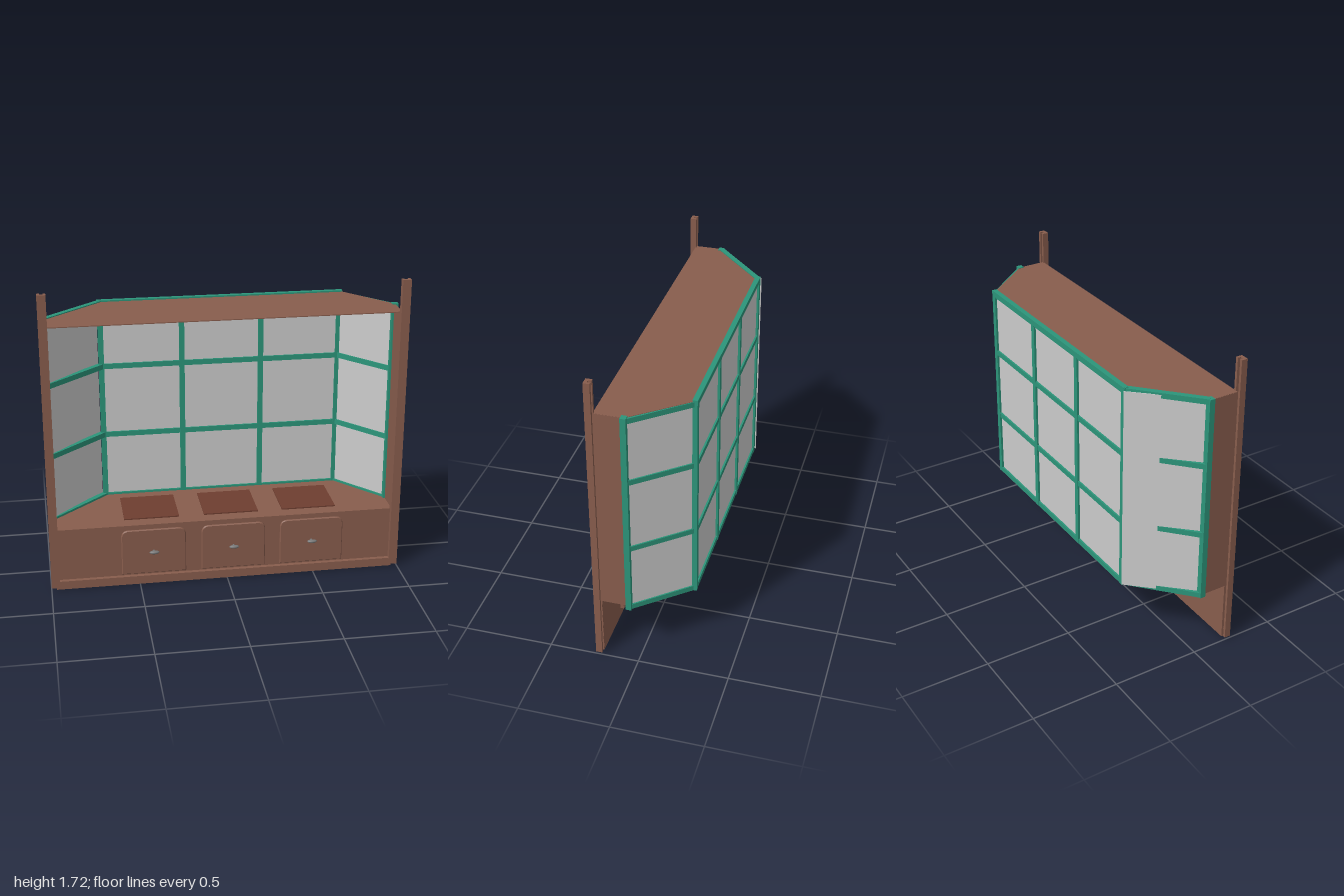
import * as THREE from 'three';

const wood = new THREE.MeshStandardMaterial({ color: 0x885d4d });
const lidWood = new THREE.MeshStandardMaterial({ color: 0x6e3e30 });
const green = new THREE.MeshStandardMaterial({ color: 0x2c957a });
const metal = new THREE.MeshStandardMaterial({ color: 0x777777 });
const glass = new THREE.MeshStandardMaterial({ color: 0xcccccc });

export function createModel() {
  const model = new THREE.Group();
  model.name = 'bayWindowSeat';

  function add(name, geometry, material) {
    const mesh = new THREE.Mesh(geometry, material);
    mesh.name = name;
    model.add(mesh);
    return mesh;
  }

  // Box given by its limits on each axis
  function block(name, [x0, x1], [y0, y1], [z0, z1], material) {
    const mesh = add(name, new THREE.BoxGeometry(x1 - x0, y1 - y0, z1 - z0), material);
    mesh.position.set((x0 + x1) / 2, (y0 + y1) / 2, (z0 + z1) / 2);
    return mesh;
  }

  // Upright slab running between two floor points [x, z]
  function span(name, a, b, [y0, y1], depth, material) {
    const dx = b[0] - a[0], dz = b[1] - a[1];
    const mesh = add(name, new THREE.BoxGeometry(Math.hypot(dx, dz), y1 - y0, depth), material);
    mesh.position.set((a[0] + b[0]) / 2, (y0 + y1) / 2, (a[1] + b[1]) / 2);
    mesh.rotation.y = Math.atan2(-dz, dx);
    return mesh;
  }

  // Horizontal board with a plan outline of [x, z] points
  function board(name, outline, y, thickness, material) {
    const shape = new THREE.Shape(outline.map(([x, z]) => new THREE.Vector2(x, -z)));
    const geo = new THREE.ExtrudeGeometry(shape, { depth: thickness, bevelEnabled: false });
    geo.rotateX(-Math.PI / 2);
    add(name, geo, material).position.y = y;
  }

  // Seat and roof share the bay's plan
  const plan = [[-0.975, 0.21], [0.965, 0.21], [0.965, 0.05], [0.73, -0.24], [-0.65, -0.24], [-0.975, 0.05]];
  board('seat', plan, 0.353, 0.005, wood);
  board('roof', plan, 1.531, 0.005, wood);

  // Side jambs
  block('rightJamb', [-0.977, -0.971], [0.355, 1.535], [0.05, 0.21], wood);
  block('leftJamb', [0.961, 0.967], [0.355, 1.535], [0.05, 0.21], wood);

  // Front posts, channelled on the back
  for (const x of [-0.976, 0.976]) {
    const w = 0.024, g = 0.009;
    const profile = [[-w, 0.24], [w, 0.24], [w, 0.205], [g, 0.205], [g, 0.222], [-g, 0.222], [-g, 0.205], [-w, 0.205]];
    board('frontPost', profile.map(([px, z]) => [x + px, z]), 0.015, 1.705, wood);
  }

  // Front panel and skirting
  block('frontPanel', [-0.97, 0.965], [0.005, 0.36], [0.204, 0.212], wood);
  block('skirting', [-0.97, 0.965], [0.003, 0.052], [0.21, 0.235], wood);

  // Doors with rounded top corners, knobs and seat lids
  const doorShape = new THREE.Shape();
  const hw = 0.183, dh = 0.272, r = 0.045;
  doorShape.moveTo(-hw, 0).lineTo(hw, 0).lineTo(hw, dh - r);
  doorShape.quadraticCurveTo(hw, dh, hw - r, dh).lineTo(-hw + r, dh);
  doorShape.quadraticCurveTo(-hw, dh, -hw, dh - r).lineTo(-hw, 0);
  for (const x of [-0.417, 0.038, 0.49]) {
    const doorGeo = new THREE.ExtrudeGeometry(doorShape, {
      depth: 0.03, bevelThickness: 0.006, bevelSize: 0.005, bevelOffset: -0.005, bevelSegments: 1, curveSegments: 8,
    });
    add('door', doorGeo, wood).position.set(x, 0.06, 0.185);

    const knob = add('knob', new THREE.SphereGeometry(1, 20, 12), metal);
    knob.scale.set(0.028, 0.01, 0.014);
    knob.position.set(x, 0.2, 0.244);
    const stem = add('knobStem', new THREE.CylinderGeometry(0.006, 0.006, 0.03, 12), metal);
    stem.rotation.x = Math.PI / 2;
    stem.position.set(x, 0.2, 0.227);

    block('seatLid', [x - 0.156, x + 0.156], [0.327, 0.365], [-0.158, 0.132], lidWood);
  }

  // Window corners in plan
  const rightFront = [-0.967, 0.05], rightBack = [-0.65, -0.24];
  const leftFront = [0.967, 0.05], leftBack = [0.722, -0.24];
  const rails = [0.355, 0.74, 1.155, 1.522];

  // Back window: mullions, rails and glass
  for (const x of [-0.65, -0.19, 0.267, 0.722]) {
    block('backMullion', [x - 0.015, x + 0.015], [0.34, 1.543], [-0.255, -0.228], green);
  }
  for (const y of rails) {
    block('backRail', [-0.65, 0.722], [y - 0.015, y + 0.015], [-0.253, -0.23], green);
  }
  block('backTopRail', [-0.66, 0.737], [1.515, 1.544], [-0.256, -0.228], green);
  block('backGlass', [-0.65, 0.722], [0.35, 1.53], [-0.243, -0.239], glass);

  // Angled side windows
  for (const [x, z] of [rightFront, leftFront]) {
    block('sidePost', [x - 0.017, x + 0.017], [0.34, 1.54], [0.037, 0.068], green);
  }
  rails.forEach((y, i) => {
    const lift = i === 3 ? 0.004 : 0;
    span('rightRail', rightFront, rightBack, [y - 0.015 + lift, y + 0.015 + lift], 0.03, green);
    const drop = i === 3 ? 0.003 : 0;
    span('leftRail', leftFront, leftBack, [y - 0.015 - drop, y + 0.015 - drop], 0.02, green);
  });
  // The right pane leans outward through its rails towards the back
  span('rightGlass', [-0.963, 0.053], [-0.668, -0.26], [0.35, 1.53], 0.004, glass);
  span('leftGlass', leftFront, leftBack, [0.35, 1.525], 0.004, glass);

  return model;
}
